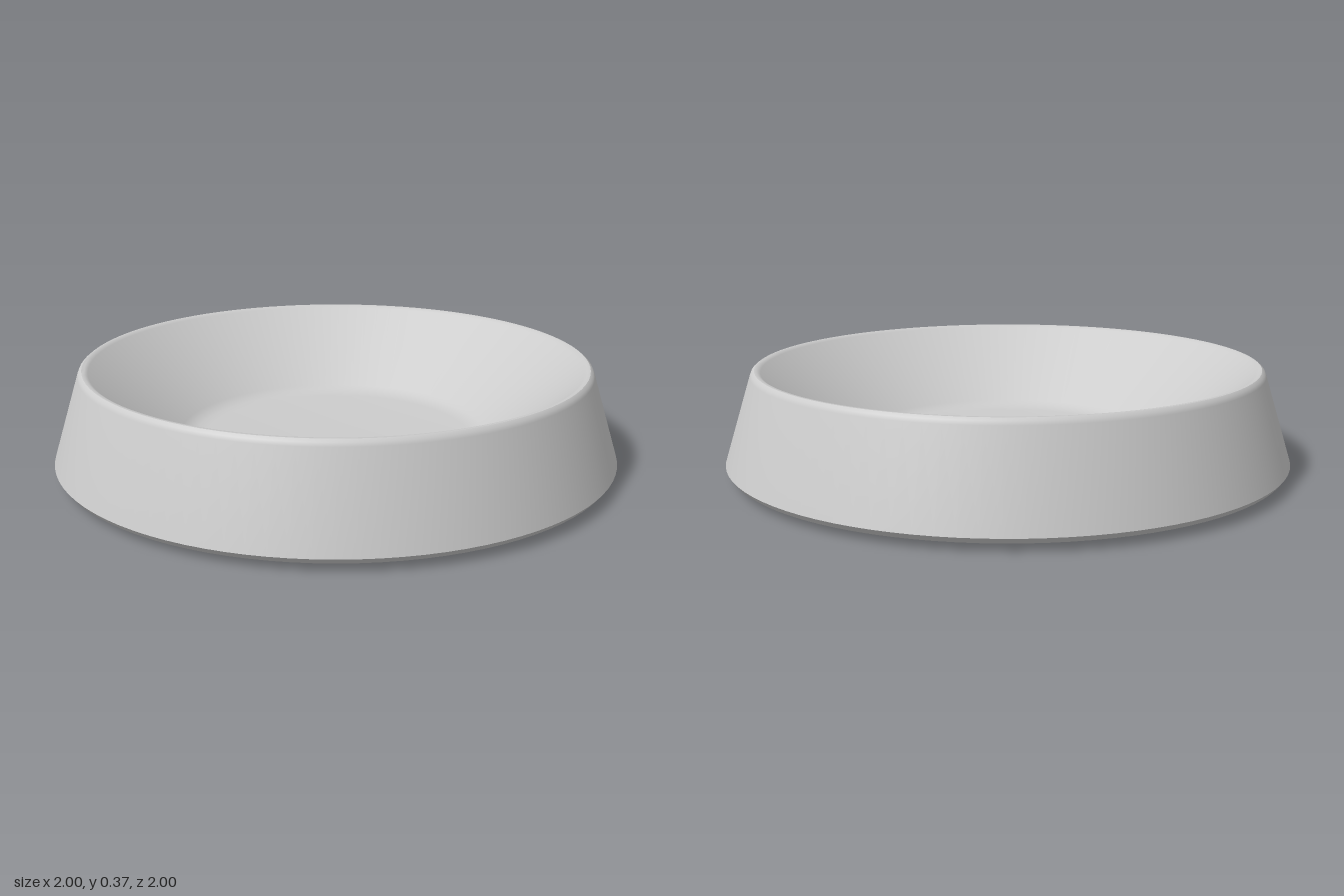
import * as THREE from 'three';
import { toCreasedNormals } from 'three/addons/utils/BufferGeometryUtils.js';

export function createModel() {
  const group = new THREE.Group();
  group.name = 'dish';

  // Closed profile [radius, height]: underside, sloped outer wall, rim, inner wall, floor
  const profile = [
    [0, 0], [0.5, 0.004], [0.8, 0.01], [0.955, 0.017], [0.985, 0.026], [1, 0.045],
    [0.905, 0.35], [0.9, 0.362], [0.89, 0.37], [0.88, 0.37], [0.868, 0.362],
    [0.56, 0.108], [0.54, 0.096], [0.515, 0.088], [0.48, 0.085], [0, 0.085],
  ].map(([r, y]) => new THREE.Vector2(r, y));

  // Soft bends stay smooth, the base and rim edges stay crisp
  const geometry = toCreasedNormals(new THREE.LatheGeometry(profile, 96), 0.6);
  const bowl = new THREE.Mesh(
    geometry,
    new THREE.MeshStandardMaterial({ color: 0xcccccc })
  );
  bowl.name = 'bowl';
  group.add(bowl);
  return group;
}
